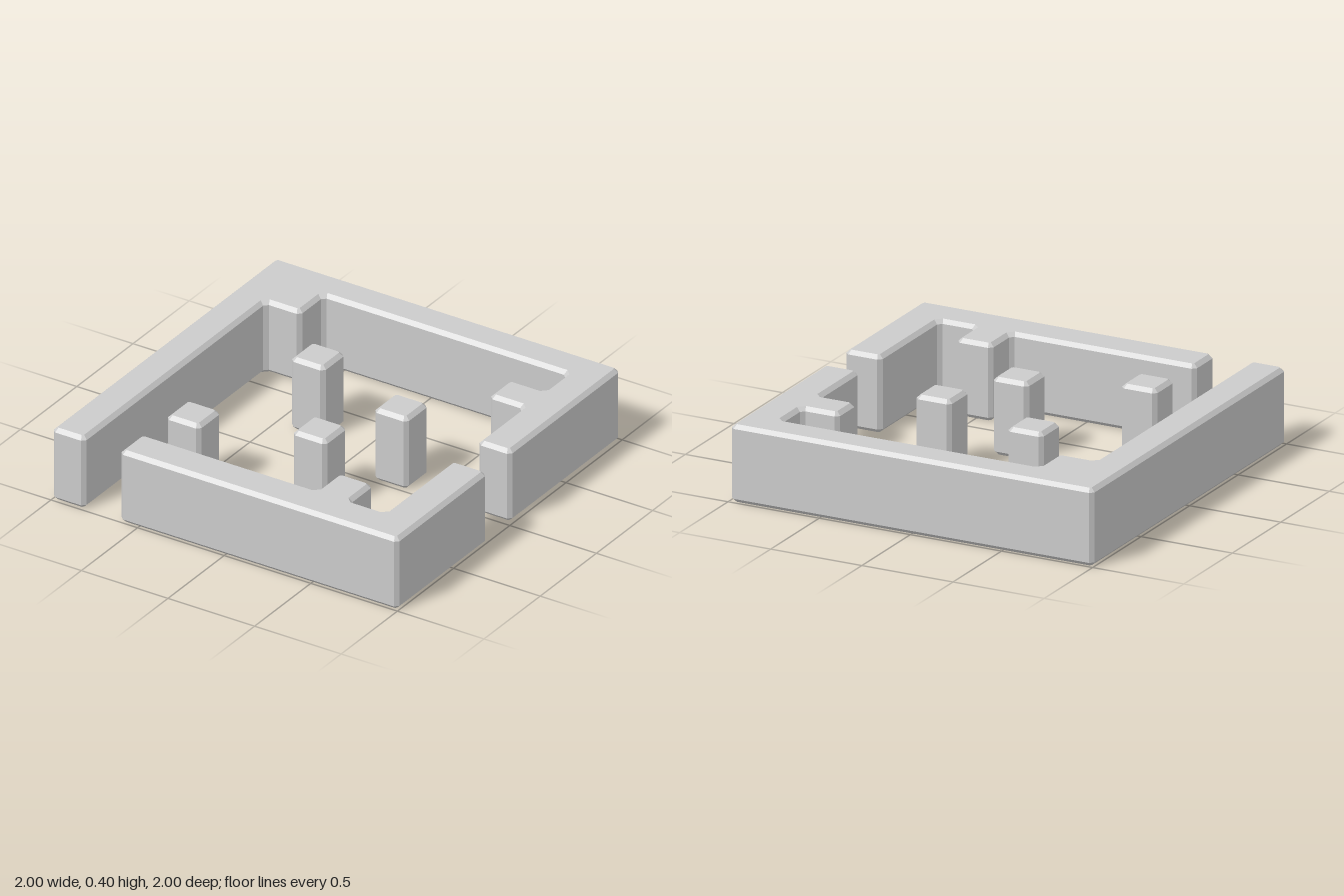
import * as THREE from 'three';

const HEIGHT = 0.4;
const BEVEL = 0.02;

// Cut every corner of an outline by the bevel width.
function chamfer(points) {
  const corners = points.map(([x, z]) => new THREE.Vector2(x, -z));
  const n = corners.length;
  return corners.flatMap((p, i) =>
    [corners[(i + n - 1) % n], corners[(i + 1) % n]].map((q) =>
      p.clone().add(q.clone().sub(p).setLength(BEVEL))));
}

// Stand an [x, z] floor outline up as a bevelled block.
function block(name, outline, material) {
  const geometry = new THREE.ExtrudeGeometry(new THREE.Shape(chamfer(outline)), {
    depth: HEIGHT - 2 * BEVEL,
    bevelThickness: BEVEL,
    bevelSize: BEVEL,
    bevelOffset: -BEVEL,
    bevelSegments: 1,
  });
  geometry.rotateX(-Math.PI / 2).translate(0, BEVEL, 0);
  const mesh = new THREE.Mesh(geometry, material);
  mesh.name = name;
  return mesh;
}

export function createModel() {
  const group = new THREE.Group();
  group.name = 'walledCourt';
  const material = new THREE.MeshStandardMaterial({ color: 0xcccccc, flatShading: true });

  // Long wall around the right, back and left sides, with a corner block and a stub
  group.add(block('backWall', [
    [-1, -1], [0.99, -1], [0.99, -0.02], [0.8, -0.02],
    [0.8, -0.43], [0.6, -0.43], [0.6, -0.615], [0.8, -0.615],
    [0.8, -0.82], [-0.61, -0.82], [-0.61, -0.615], [-0.81, -0.615],
    [-0.81, 0.995], [-1, 0.995],
  ], material));

  // Front wall turning the left corner, with one inward stub
  group.add(block('frontWall', [
    [-0.605, 0.8], [0.405, 0.8], [0.405, 0.6], [0.6, 0.6],
    [0.6, 0.8], [0.8, 0.8], [0.8, 0.2], [1, 0.2],
    [1, 1], [-0.605, 1],
  ], material));

  // Free-standing square pillars
  const h = 0.0975;
  [[-0.31, -0.31], [0.3, -0.11], [0.09, 0.29], [-0.505, 0.495]].forEach(([x, z], i) => {
    group.add(block(`pillar${i + 1}`,
      [[x - h, z - h], [x + h, z - h], [x + h, z + h], [x - h, z + h]], material));
  });

  return group;
}
